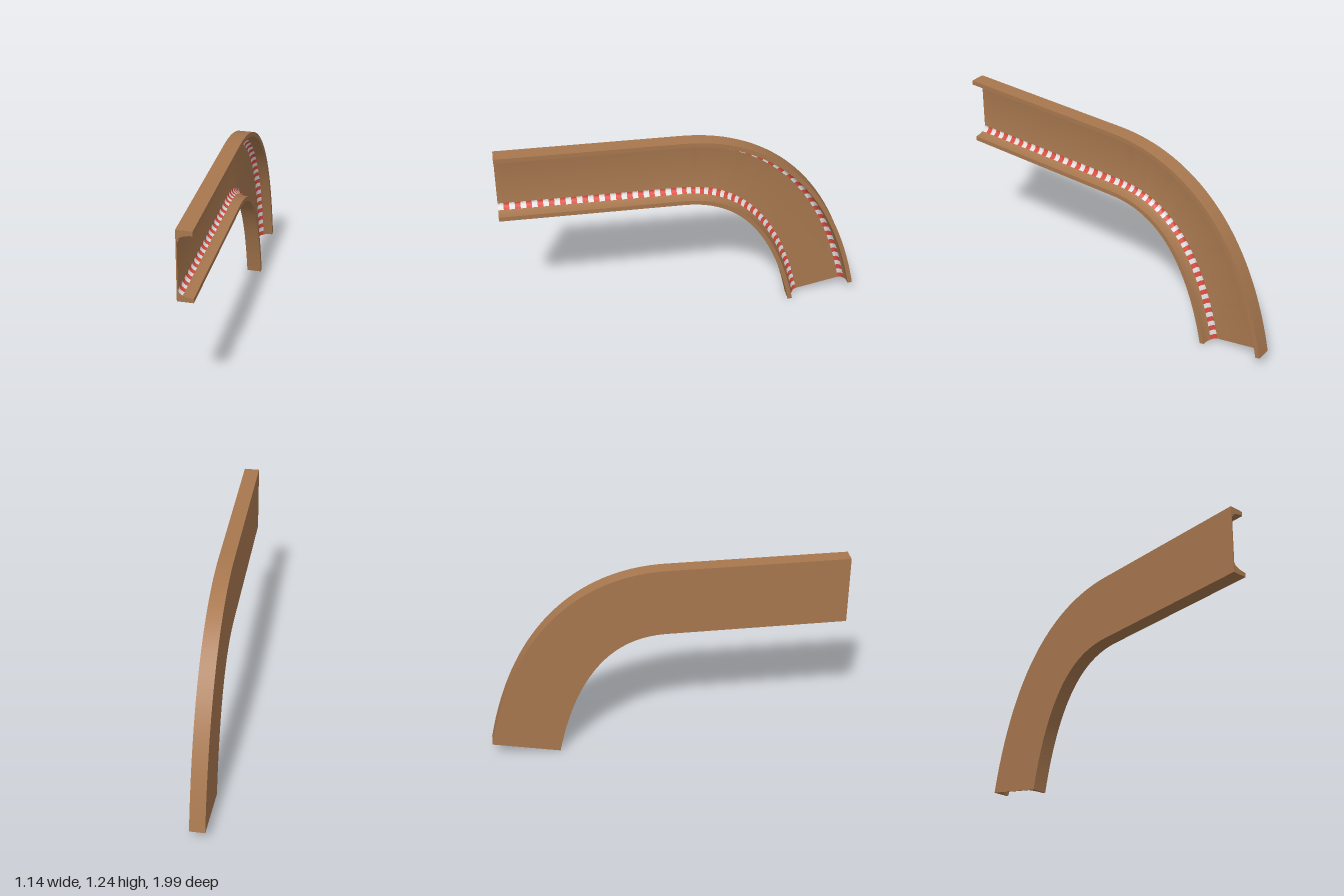
import * as THREE from 'three';
import { toCreasedNormals } from 'three/addons/utils/BufferGeometryUtils.js';

const STEPS = 76; // one painted block per step

// Centre line in the track's own vertical plane: a straight run, then a drop
const path = new THREE.CurvePath();
path.add(new THREE.LineCurve(new THREE.Vector2(-1.11, 1.025), new THREE.Vector2(0, 1.025)));
path.add(new THREE.QuadraticBezierCurve(
  new THREE.Vector2(0, 1.025), new THREE.Vector2(0.69, 1.025), new THREE.Vector2(0.897, 0.045)));

const stations = [];
for (let i = 0; i <= STEPS; i++) {
  stations.push({ p: path.getPoint(i / STEPS), t: path.getTangent(i / STEPS) });
}

// Section point (v across the track, w out of its plane) placed at a station
function place([v, w], { p, t }) {
  return [p.x - t.y * v, p.y + t.x * v, w];
}

// Point k (0 = floor, 8 = lip) on the rounded inner corner
function fillet(k) {
  const a = (k * Math.PI) / 16;
  return [0.15 + 0.038 * Math.sin(a), 0.047 - 0.087 * Math.cos(a)];
}

const mirror = (points) => points.map(([v, w]) => [-v, w]).reverse();

// Skin a section between consecutive stations
function skin(out, section, from, to, closed) {
  const n = section.length;
  for (let s = from; s < to; s++) {
    for (let j = 0; j < (closed ? n : n - 1); j++) {
      const q = section[(j + 1) % n];
      const a = place(section[j], stations[s]);
      const b = place(q, stations[s]);
      const c = place(q, stations[s + 1]);
      const d = place(section[j], stations[s + 1]);
      out.push(...a, ...b, ...c, ...a, ...c, ...d);
    }
  }
}

function makeMesh(name, positions, material) {
  const geometry = new THREE.BufferGeometry();
  geometry.setAttribute('position', new THREE.Float32BufferAttribute(positions, 3));
  const mesh = new THREE.Mesh(toCreasedNormals(geometry, 0.5), material);
  mesh.name = name;
  return mesh;
}

export function createModel() {
  const wood = new THREE.MeshStandardMaterial({ color: 0xa8784f });
  const white = new THREE.MeshStandardMaterial({ color: 0xdedede });
  const red = new THREE.MeshStandardMaterial({ color: 0xd94a3c });
  wood.name = 'wood';
  white.name = 'white paint';
  red.name = 'red paint';

  const group = new THREE.Group();
  group.name = 'trackPiece';

  // Channel: flat back, two lips and rounded inner corners
  const corner = [];
  for (let k = 8; k >= 0; k--) corner.push(fillet(k));
  const section = [
    [-0.216, -0.047], [0.216, -0.047], [0.216, 0.047],
    ...corner, ...mirror(corner), [-0.216, 0.047],
  ];
  const body = [];
  skin(body, section, 0, STEPS, true);

  // End caps
  const outline = section.map(([v, w]) => new THREE.Vector2(v, w));
  for (const [a, b, c] of THREE.ShapeUtils.triangulateShape(outline, [])) {
    for (const i of [c, b, a]) body.push(...place(section[i], stations[0]));
    for (const i of [a, b, c]) body.push(...place(section[i], stations[STEPS]));
  }
  group.add(makeMesh('channel', body, wood));

  // Striped kerbs along both inner corners
  const kerb = [];
  for (let k = 4; k >= 0; k--) {
    const [v, w] = fillet(k);
    kerb.push([v - 0.002, w + 0.002]);
  }
  kerb.push([0.142, -0.038]);
  for (const [side, strip] of [['outer', kerb], ['inner', mirror(kerb)]]) {
    const blocks = [[], []];
    for (let s = 0; s < STEPS; s++) skin(blocks[s % 2], strip, s, s + 1, false);
    group.add(makeMesh(side + 'KerbWhite', blocks[0], white));
    group.add(makeMesh(side + 'KerbRed', blocks[1], red));
  }

  // Turn the track's plane to run diagonally from front right to back left
  group.rotation.y = Math.atan2(0.8786, 0.4776);
  return group;
}
